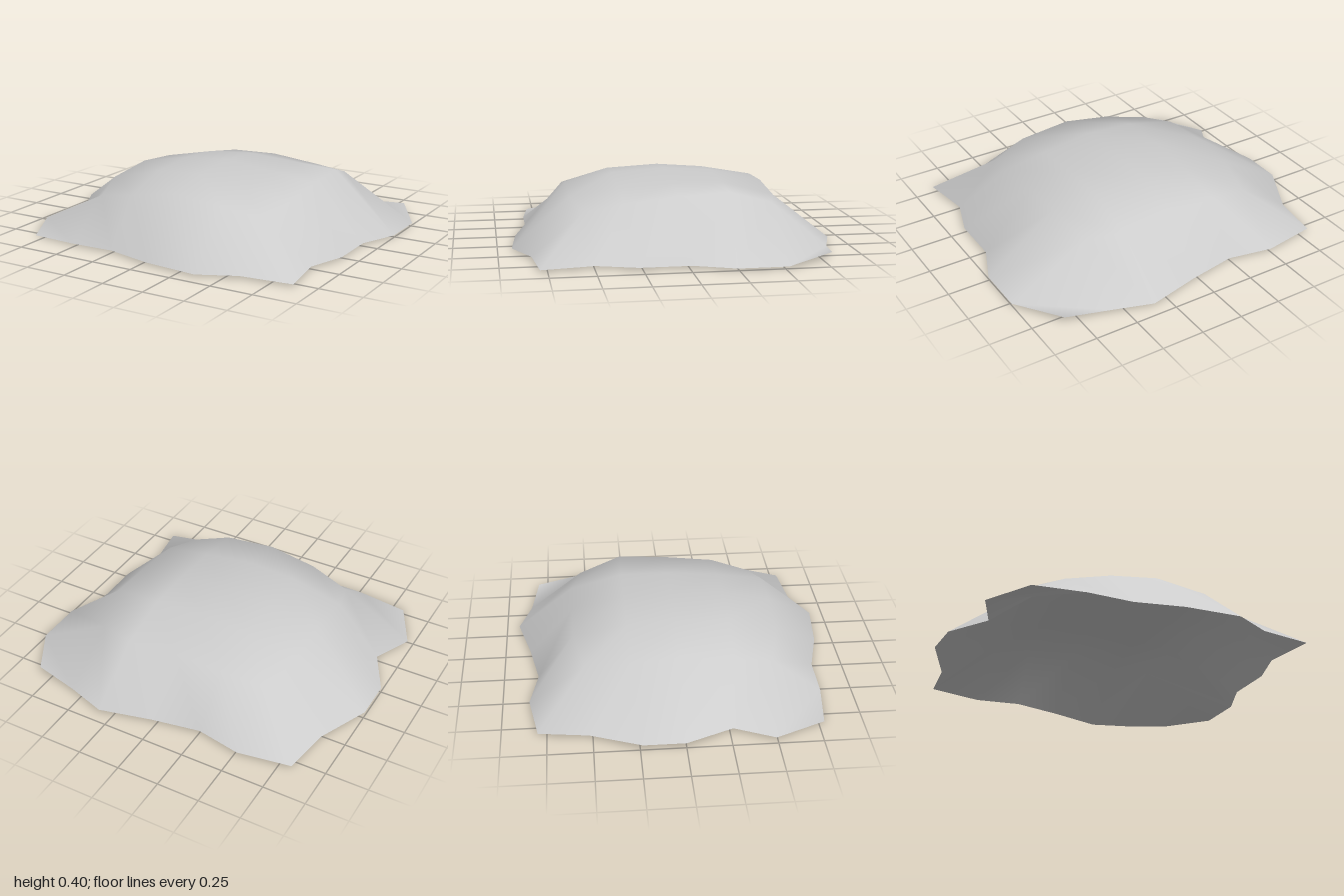
import * as THREE from 'three';

// Uneven rim: seven [x, z] points along the back and front, five along each side
const BACK = [[-0.82, -0.8], [-0.51, -0.85], [-0.25, -0.8], [0.03, -0.85], [0.34, -0.925], [0.57, -0.85], [0.83, -0.805]];
const FRONT = [[-0.82, 0.785], [-0.52, 0.82], [-0.25, 0.82], [0.03, 0.89], [0.355, 0.92], [0.57, 0.82], [0.875, 0.79]];
const LEFT_EDGE = [[-0.86, -0.52], [-1, -0.235], [-1, 0], [-0.86, 0.27], [-0.965, 0.495]];
const RIGHT_EDGE = [[1, -0.52], [1, -0.24], [0.905, -0.015], [0.905, 0.27], [0.83, 0.495]];

// Inner rows and columns, with the four inner corners pulled towards the centre
const COLS = [-0.58, -0.27, 0.02, 0.33, 0.6];
const ROWS = [-0.59, -0.28, 0, 0.31, 0.59];
const CORNER_PULL = 0.9;

// Heights of the cross-sections, from back to front
const HEIGHTS = [
  [0.012, 0.012, 0.012, 0.012, 0.012, 0.012, 0.04],
  [0.012, 0.245, 0.295, 0.305, 0.275, 0.27, 0.012],
  [0.03, 0.285, 0.35, 0.375, 0.358, 0.345, 0.012],
  [0.03, 0.31, 0.372, 0.395, 0.358, 0.33, 0.012],
  [0.012, 0.28, 0.355, 0.375, 0.335, 0.295, 0.012],
  [0.012, 0.225, 0.275, 0.325, 0.295, 0.245, 0.012],
  [0, 0.008, 0.012, 0.012, 0.012, 0.012, 0.012],
];

// Plan position of a grid point
function planPoint(row, col) {
  if (row === 0) return BACK[col];
  if (row === 6) return FRONT[col];
  if (col === 0) return LEFT_EDGE[row - 1];
  if (col === 6) return RIGHT_EDGE[row - 1];
  const isCorner = (row === 1 || row === 5) && (col === 1 || col === 5);
  const pull = isCorner ? CORNER_PULL : 1;
  return [COLS[col - 1] * pull, ROWS[row - 1] * pull];
}

export function createModel() {
  const group = new THREE.Group();
  group.name = 'mound';
  const stone = new THREE.MeshStandardMaterial({ color: 0xcccccc, side: THREE.DoubleSide });
  stone.name = 'pale grey';

  // Open, smooth shell joined from the cross-sections
  const positions = [];
  const indices = [];
  for (let row = 0; row < 7; row++) {
    for (let col = 0; col < 7; col++) {
      const [x, z] = planPoint(row, col);
      positions.push(x, HEIGHTS[row][col], z);
      if (row < 6 && col < 6) {
        const a = row * 7 + col;
        indices.push(a, a + 7, a + 8, a, a + 8, a + 1);
      }
    }
  }
  const geometry = new THREE.BufferGeometry();
  geometry.setAttribute('position', new THREE.Float32BufferAttribute(positions, 3));
  geometry.setIndex(indices);
  geometry.computeVertexNormals();

  const shell = new THREE.Mesh(geometry, stone);
  shell.name = 'moundSurface';
  group.add(shell);
  return group;
}
